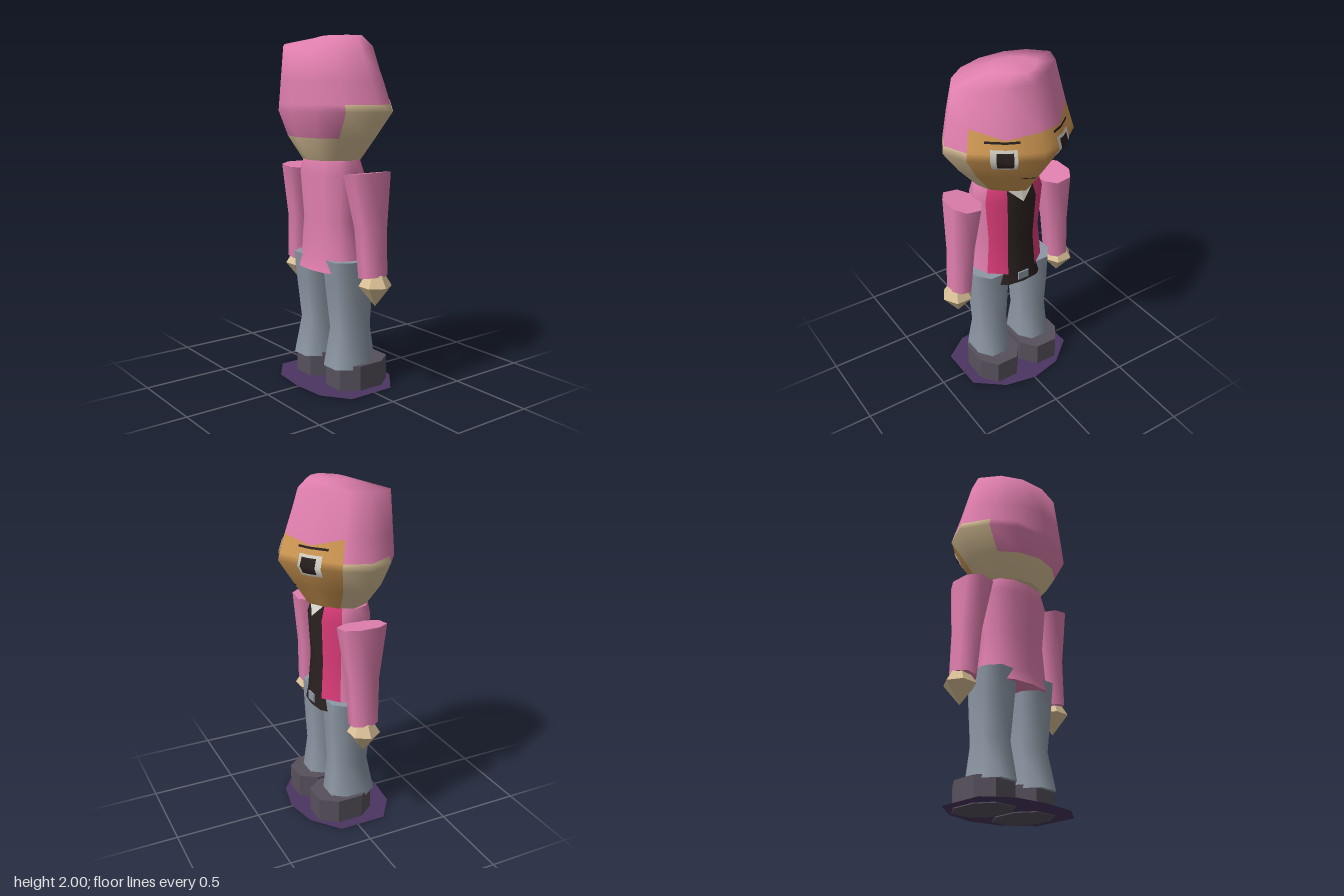
import * as THREE from 'three';

const mat = (name, color) => {
  const m = new THREE.MeshStandardMaterial({ color, side: THREE.DoubleSide });
  m.name = name;
  return m;
};

// mirror a half outline (front to back on +x) into a closed one
const mirror = (half) => [
  ...half,
  ...half.filter(p => p[0] > 0).reverse().map(([x, z]) => [-x, z]),
];

const HEAD = [[0, -1], [0.45, -0.74], [0.85, -0.34], [1, 0.09], [0.78, 0.58], [0.45, 0.88], [0, 1]];
const TORSO = [[0, -1], [0.42, -0.93], [0.85, -0.45], [1, 0.1], [0.87, 0.6], [0.5, 0.92], [0, 1]];
const OCTAGON = [[0.5, -1], [1, -0.45], [1, 0.45], [0.5, 1]];

// horizontal cross-section: centre x, half width, front z, back z
const ring = (half, y, w, zF, zB, cx = 0) => mirror(half).map(([x, z]) =>
  new THREE.Vector3(cx + x * w, y, (zF + zB) / 2 + z * (zB - zF) / 2));

// skin a stack of rings from bottom to top; pick(row, column) chooses the material
function loft(name, rows, mats, { closed = true, caps = true, pick = () => 0 } = {}) {
  const n = rows[0].length, pos = rows.flat().flatMap(p => p.toArray());
  const lists = mats.map(() => []);
  for (let i = 0; i < rows.length - 1; i++) {
    for (let j = 0; j < (closed ? n : n - 1); j++) {
      const k = (j + 1) % n, a = i * n + j, b = i * n + k, d = a + n, c = b + n;
      lists[pick(i, j)].push(a, d, c, a, c, b);
    }
  }
  if (closed && caps) {
    [rows[0], rows[rows.length - 1]].forEach((r, top) => {
      const s = pos.length / 3;
      r.forEach(p => pos.push(p.x, p.y, p.z));
      for (let j = 1; j < n - 1; j++) lists[0].push(s, ...(top ? [s + j + 1, s + j] : [s + j, s + j + 1]));
    });
  }
  const g = new THREE.BufferGeometry();
  g.setAttribute('position', new THREE.Float32BufferAttribute(pos, 3));
  g.setIndex(lists.flat());
  let start = 0;
  lists.forEach((l, m) => { g.addGroup(start, l.length, m); start += l.length; });
  g.computeVertexNormals();
  const mesh = new THREE.Mesh(g, mats);
  mesh.name = name;
  return mesh;
}

// head sizes by height: y, half width, front z, back z
const LEVELS = [[1.31, 0.19, -0.15, 0.21], [1.44, 0.305, -0.235, 0.285], [1.58, 0.405, -0.325, 0.325], [1.94, 0.305, -0.205, 0.31]];
function level(y) {
  const i = y < 1.44 ? 0 : y < 1.58 ? 1 : 2, a = LEVELS[i], b = LEVELS[i + 1];
  return a.map((v, k) => THREE.MathUtils.lerp(v, b[k], (y - a[0]) / (b[0] - a[0])));
}
const headRing = (y) => ring(HEAD, ...level(y));

// point on the face at column u and height y, pushed out a little
function onFace(u, y, out) {
  const s = Math.abs(u), i = Math.floor(s), t = s - i;
  const x = THREE.MathUtils.lerp(HEAD[i][0], HEAD[i + 1][0], t) * Math.sign(u);
  const z = THREE.MathUtils.lerp(HEAD[i][1], HEAD[i + 1][1], t);
  const [, w, f, b] = level(y);
  return new THREE.Vector3(x * w * out, y, (f + b) / 2 + z * (b - f) / 2 * out);
}
function facePatch(name, u0, u1, y0, y1, material, out = 1.018) {
  const us = [u0, ...[-1, 0, 1].filter(u => u > u0 && u < u1), u1];
  const ys = [y0, ...[1.44, 1.58].filter(y => y > y0 && y < y1), y1];
  return loft(name, ys.map(y => us.map(u => onFace(u, y, out))), [material], { closed: false });
}

export function createModel() {
  const pink = mat('pink', 0xe07fae), crimson = mat('crimson', 0xdb3c78);
  const black = mat('black', 0x2a211f), white = mat('white', 0xdcd8cc);
  const tan = mat('face tan', 0xcf9853), skin = mat('skin', 0xdac198);
  const grey = mat('trouser grey', 0x8d98a5), shoe = mat('shoe', 0x56505c), purple = mat('purple', 0x4a3560);
  const model = new THREE.Group();
  model.name = 'figure';

  // head and hood, with a dipping hairline over the face
  const hairline = [1.72, 1.69, 1.74, 1.74, 1.74, 1.74, 1.74, 1.74, 1.74, 1.74, 1.74, 1.69];
  const crown = headRing(1.94);
  crown.forEach(p => { p.y -= 0.11 * p.x + 0.07 * p.z; });
  const rows = [headRing(1.31), headRing(1.44), headRing(1.58), headRing(1.62),
    hairline.map((y, j) => headRing(y)[j]), crown,
    ring(HEAD, 1.994, 0.14, -0.15, 0.08), ring(HEAD, 2, 0.001, -0.03, -0.028)];
  model.add(loft('head', rows, [skin, tan, pink], {
    pick(i, j) {
      const k = Math.min(j, 11 - j);
      if (k < 2) return i < 4 ? 1 : 2;
      if (k < 4) return i < 3 ? 0 : 2;
      return i < 1 ? 0 : 2;
    },
  }));

  // eyes, brows and mouth
  for (const s of [-1, 1]) {
    const add = (name, a, b, y0, y1, m, out) =>
      model.add(facePatch(name, Math.min(a * s, b * s), Math.max(a * s, b * s), y0, y1, m, out));
    add('eyeWhite', 0.7, 1.4, 1.525, 1.645, white);
    add('pupil', 0.8, 1.24, 1.54, 1.63, black, 1.03);
    add('eyebrow', 0.6, 1.55, 1.674, 1.686, black);
  }
  model.add(facePatch('mouth', -0.1, 0.5, 1.428, 1.435, black));

  // jacket with open front and dark belt
  const body = [[0.68, 0.24, -0.14, 0.205], [0.75, 0.222, -0.128, 0.19], [0.97, 0.2, -0.112, 0.18],
    [1.23, 0.225, -0.125, 0.195], [1.31, 0.198, -0.1, 0.18]];
  model.add(loft('jacket', body.map(b => ring(TORSO, ...b)), [pink, crimson, black], {
    pick(i, j) {
      const k = Math.min(j, 11 - j);
      if (i === 0) return k < 2 ? 2 : 0;
      return k < 1 ? 2 : k < 2 ? 1 : 0;
    },
  }));
  const collar = new THREE.BufferGeometry();
  collar.setAttribute('position', new THREE.Float32BufferAttribute([
    0, 1.31, -0.107, 0.085, 1.31, -0.098, 0, 1.23, -0.131,
    0, 1.31, -0.107, 0, 1.23, -0.131, -0.085, 1.31, -0.098], 3));
  collar.computeVertexNormals();
  // corner order faces the front of the figure
  const shirt = new THREE.Mesh(collar, white);
  shirt.name = 'collar';
  model.add(shirt);
  const buckle = new THREE.Mesh(new THREE.BoxGeometry(0.07, 0.05, 0.009), grey);
  buckle.name = 'buckle';
  buckle.position.set(0, 0.725, -0.136);
  model.add(buckle);

  for (const s of [-1, 1]) {
    // sleeve: y, half width, front z, back z, centre x
    const sleeve = [[0.68, 0.063, -0.055, 0.1, 0.345], [0.95, 0.07, -0.065, 0.11, 0.325], [1.25, 0.09, -0.1, 0.16, 0.3]]
      .map(([y, w, f, b, x]) => ring(OCTAGON, y, w, f, b, x * s));
    sleeve[2].forEach(p => { p.y += (Math.abs(p.x) - 0.3) * 0.13; });
    sleeve[0].forEach(p => { p.y += (Math.abs(p.x) - 0.345) * 0.15; });
    model.add(loft('sleeve', sleeve, [pink]));

    // hand
    const profile = [[0, 0.515], [0.093, 0.632], [0.055, 0.695], [0, 0.695]].map(p => new THREE.Vector2(...p));
    const hg = new THREE.LatheGeometry(profile, 6, Math.PI / 2).toNonIndexed();
    hg.computeVertexNormals();
    const hand = new THREE.Mesh(hg, skin);
    hand.name = 'hand';
    hand.position.set(0.36 * s, 0, 0.018);
    model.add(hand);

    // leg, its top showing past the jacket hem
    const leg = [[0.13, 0.112, -0.11, 0.175, 0.148], [0.35, 0.094, -0.085, 0.132, 0.143],
      [0.6, 0.108, -0.098, 0.16, 0.143], [0.75, 0.116, -0.1, 0.175, 0.142]];
    model.add(loft('leg', leg.map(([y, w, f, b, x]) => ring(OCTAGON, y, w, f, b, x * s)), [grey]));

    // shoe, flat-sided
    const block = loft('shoe', [0, 0.15].map(y => ring(OCTAGON, y, 0.137, -0.19, 0.15, 0.147 * s)), [shoe]);
    const groups = block.geometry.groups;
    block.geometry = block.geometry.toNonIndexed();
    block.geometry.computeVertexNormals();
    block.geometry.groups = groups;
    model.add(block);
  }

  // flat ground disc under the feet
  const outline = mirror([[0, -0.28], [0.19, -0.24], [0.35, -0.11], [0.35, 0.17], [0.2, 0.28], [0, 0.3]]);
  const disc = new THREE.Mesh(new THREE.ShapeGeometry(
    new THREE.Shape(outline.map(([x, z]) => new THREE.Vector2(x, -z)))), purple);
  disc.name = 'groundDisc';
  disc.rotation.x = -Math.PI / 2;
  disc.position.y = 0.006;
  model.add(disc);
  return model;
}
